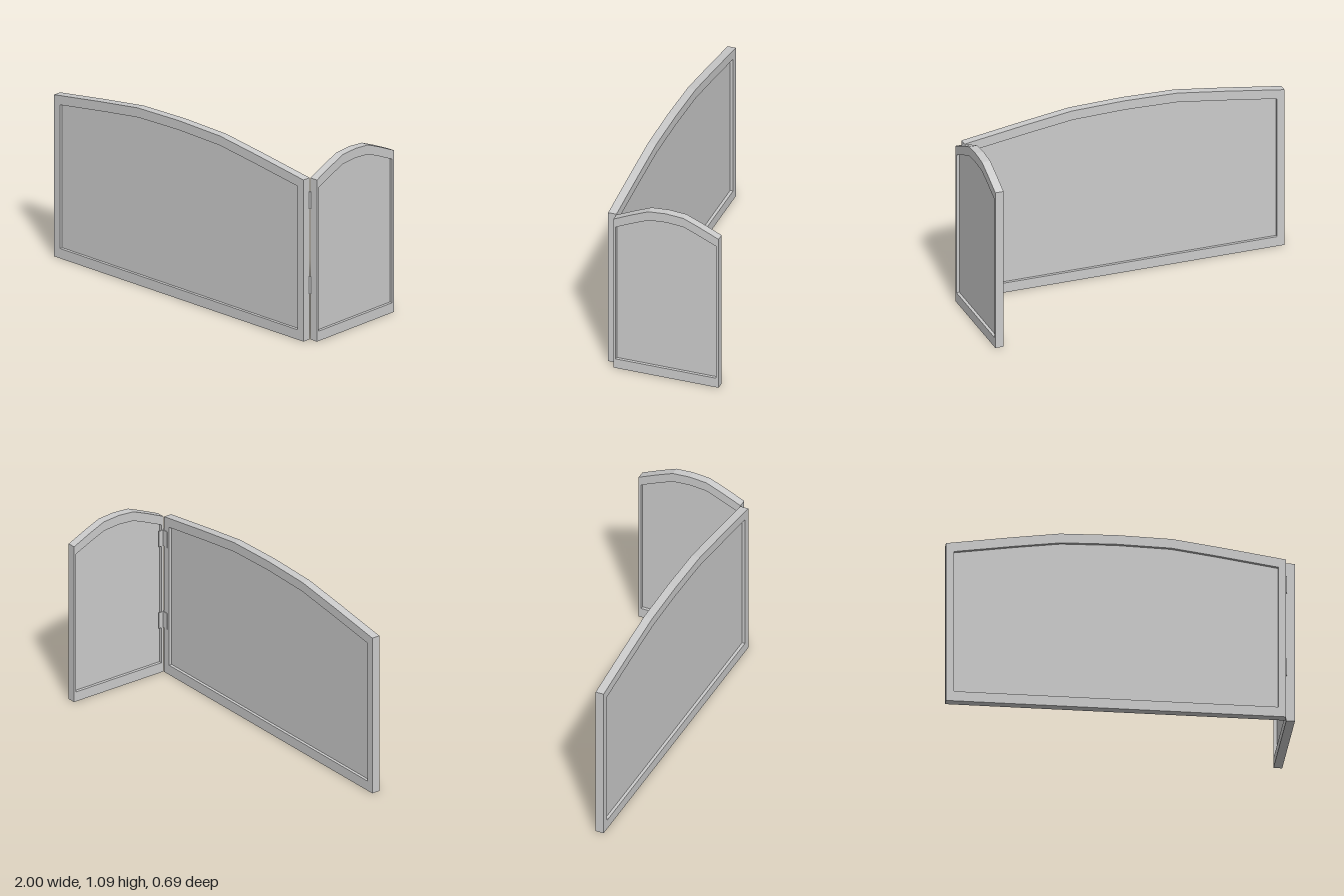
import * as THREE from 'three';

const material = new THREE.MeshStandardMaterial({ color: 0xcccccc, flatShading: true });
const THICKNESS = 0.05;

// Half of each arched top edge: [fraction of half width, height], side to middle
const OUTER_TOP = [[1, 0.985], [0.63, 1.039], [0.33, 1.079], [0, 1.087]];
const INNER_TOP = [[1, 0.935], [0.62, 0.987], [0.34, 1.022], [0, 1.03]];

function add(parent, name, geometry, x = 0, y = 0, z = 0) {
  const mesh = new THREE.Mesh(geometry, material);
  mesh.name = name;
  mesh.position.set(x, y, z);
  parent.add(mesh);
  return mesh;
}

// Closed outline with a flat bottom and a mirrored, faceted arch
function archPoints(halfWidth, bottom, top) {
  const right = top.map(([t, y]) => new THREE.Vector2(t * halfWidth, y));
  const left = top.slice(0, -1).reverse().map(([t, y]) => new THREE.Vector2(-t * halfWidth, y));
  return [
    new THREE.Vector2(-halfWidth, bottom),
    new THREE.Vector2(halfWidth, bottom),
    ...right,
    ...left,
  ];
}

function extrude(shape, depth) {
  const geometry = new THREE.ExtrudeGeometry(shape, { depth, bevelEnabled: false });
  geometry.translate(0, 0, -depth / 2);
  return geometry;
}

// Frame around a thin recessed sheet
function createPanel(name, width, border) {
  const panel = new THREE.Group();
  panel.name = name;
  const inner = archPoints(width / 2 - border, 0.06, INNER_TOP);
  const frame = new THREE.Shape(archPoints(width / 2, 0, OUTER_TOP));
  frame.holes.push(new THREE.Path(inner));
  add(panel, 'frame', extrude(frame, THICKNESS));
  add(panel, 'sheet', extrude(new THREE.Shape(inner), 0.014));
  return panel;
}

// Pin with one leaf on each panel
function createHinge(y) {
  const hinge = new THREE.Group();
  hinge.name = 'hinge';
  hinge.position.set(0.949, y, 0.297);
  add(hinge, 'hingePin', new THREE.CylinderGeometry(0.006, 0.006, 0.105, 12));
  add(hinge, 'widePanelLeaf', new THREE.BoxGeometry(0.035, 0.1, 0.004), -0.0185, 0, -0.004);
  add(hinge, 'sidePanelLeaf', new THREE.BoxGeometry(0.004, 0.1, 0.035), 0.001, 0, -0.0185);
  return hinge;
}

export function createModel() {
  const model = new THREE.Group();
  model.name = 'foldingScreen';

  const wide = createPanel('widePanel', 1.944, 0.045);
  wide.position.set(-0.028, 0, 0.32);
  model.add(wide);

  // Side panel folded back at a right angle
  const side = createPanel('sidePanel', 0.638, 0.0145);
  side.rotation.y = Math.PI / 2;
  side.position.set(0.975, 0, -0.026);
  model.add(side);

  for (const y of [0.333, 0.85]) model.add(createHinge(y));
  return model;
}
